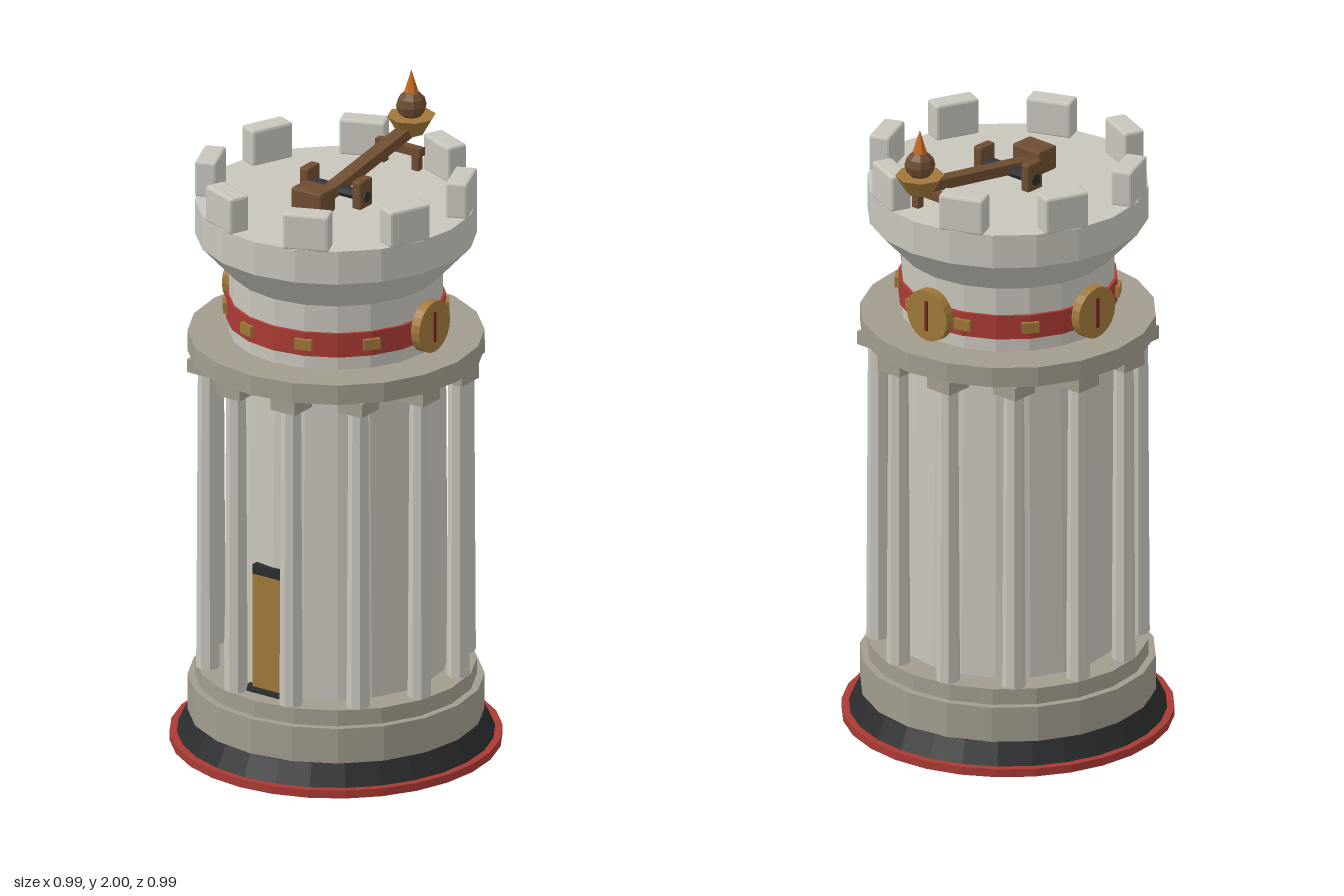
import * as THREE from 'three';
import { RoundedBoxGeometry } from 'three/addons/geometries/RoundedBoxGeometry.js';

export function createModel() {
  const mat = (name, color) => {
    const m = new THREE.MeshStandardMaterial({ color, flatShading: true });
    m.name = name;
    return m;
  };
  const stone = mat('lightStone', 0xc8c5bb);
  const trim = mat('darkStone', 0xa29c8e);
  const red = mat('red', 0xa93a34);
  const black = mat('black', 0x2b2c2d);
  const gold = mat('gold', 0xa0783a);
  const wood = mat('wood', 0x6e4d31);
  const flame = mat('flameOrange', 0xc76a22);
  const darkRed = mat('darkRed', 0x6b2320);

  const model = new THREE.Group();
  model.name = 'watchTower';

  const add = (name, geometry, material, x = 0, y = 0, z = 0, parent = model) => {
    const mesh = new THREE.Mesh(geometry, material);
    mesh.name = name;
    mesh.position.set(x, y, z);
    parent.add(mesh);
    return mesh;
  };
  // Upright drum between two heights
  const drum = (name, material, y0, y1, rBottom, rTop, sides = 20, x = 0, z = 0) =>
    add(name, new THREE.CylinderGeometry(rTop, rBottom, y1 - y0, sides), material, x, (y0 + y1) / 2, z);
  const box = (w, h, d) => new THREE.BoxGeometry(w, h, d);
  const beam = (w, h, d) => new RoundedBoxGeometry(w, h, d, 1, 0.006);
  // Places a mesh on a circle, facing outward
  const around = (mesh, angle, radius) => {
    mesh.position.x = Math.sin(angle) * radius;
    mesh.position.z = Math.cos(angle) * radius;
    mesh.rotation.y = angle;
    return mesh;
  };

  // Base
  drum('baseDisc', red, 0, 0.025, 0.494, 0.494, 28);
  drum('basePlinth', black, 0.025, 0.09, 0.472, 0.44, 28);
  drum('lowerStep', trim, 0.09, 0.2, 0.44, 0.44);
  drum('upperStep', trim, 0.2, 0.25, 0.418, 0.418);

  // Tower body, cornice and red band
  drum('towerWall', stone, 0.25, 1.24, 0.332, 0.312);
  drum('cornice', trim, 1.235, 1.297, 0.44, 0.44);
  drum('upperWall', stone, 1.297, 1.5, 0.317, 0.317);
  drum('band', red, 1.34, 1.415, 0.326, 0.326);

  // Ring of columns with square capitals
  for (let i = 0; i < 12; i++) {
    const a = ((15 + 30 * i) * Math.PI) / 180;
    const x = Math.sin(a) * 0.385;
    const z = Math.cos(a) * 0.385;
    drum('column', stone, 0.25, 1.195, 0.035, 0.03, 8, x, z);
    add('capital', box(0.088, 0.042, 0.088), trim, x, 1.214, z);
  }

  // Door
  add('doorFrame', box(0.13, 0.395, 0.03), black, 0, 0.4475, 0.322);
  add('doorSill', box(0.17, 0.008, 0.06), black, 0, 0.254, 0.335);
  add('doorPanel', box(0.124, 0.362, 0.008), gold, 0, 0.434, 0.337);

  // Band studs
  for (let i = 0; i < 10; i++) {
    around(add('bandStud', box(0.052, 0.033, 0.02), gold, 0, 1.378), ((18 + 36 * i) * Math.PI) / 180, 0.325);
  }

  // Round medallions on both sides and the back
  for (const a of [Math.PI / 2, Math.PI, -Math.PI / 2]) {
    const medallion = new THREE.Group();
    medallion.name = 'medallion';
    medallion.position.y = 1.39;
    model.add(around(medallion, a, 0.342));
    add('medallionDisc', new THREE.CylinderGeometry(0.08, 0.08, 0.03, 20).rotateX(Math.PI / 2), gold, 0, 0, 0, medallion);
    add('medallionSlit', box(0.01, 0.095, 0.006), darkRed, 0, 0, 0.016, medallion);
  }

  // Flared parapet with merlons
  drum('parapetFlare', stone, 1.5, 1.61, 0.317, 0.418);
  drum('parapetRim', stone, 1.61, 1.715, 0.418, 0.418);
  for (let i = 0; i < 8; i++) {
    const merlon = add('merlon', new RoundedBoxGeometry(0.14, 0.115, 0.066, 1, 0.008), stone, 0, 1.768);
    around(merlon, ((22.5 + 45 * i) * Math.PI) / 180, 0.381);
  }

  // Catapult frame
  add('axle', new THREE.CylinderGeometry(0.018, 0.018, 0.23, 8).rotateZ(Math.PI / 2), black, 0, 1.748, 0);
  for (const s of [-1, 1]) {
    add('axlePost', beam(0.032, 0.09, 0.064), wood, s * 0.095, 1.757, 0);
    add('restPost', box(0.024, 0.055, 0.024), wood, s * 0.062, 1.74, -0.328);
  }
  add('restBar', box(0.162, 0.026, 0.026), wood, 0, 1.773, -0.328);

  // Throwing arm with counterweight
  const arm = add('throwingArm', box(0.043, 0.032, 0.5), wood, 0, 1.777, -0.14);
  arm.rotation.x = 0.157;
  add('counterweight', beam(0.108, 0.075, 0.078), wood, 0, 1.754, 0.117);

  // Cup with burning ball
  drum('cup', gold, 1.8, 1.855, 0.04, 0.073, 8, 0, -0.387);
  add('fireBall', new THREE.SphereGeometry(0.046, 8, 6), wood, 0, 1.888, -0.387);
  add('flame', new THREE.ConeGeometry(0.026, 0.085, 6), flame, 0, 1.9575, -0.387);

  return model;
}
